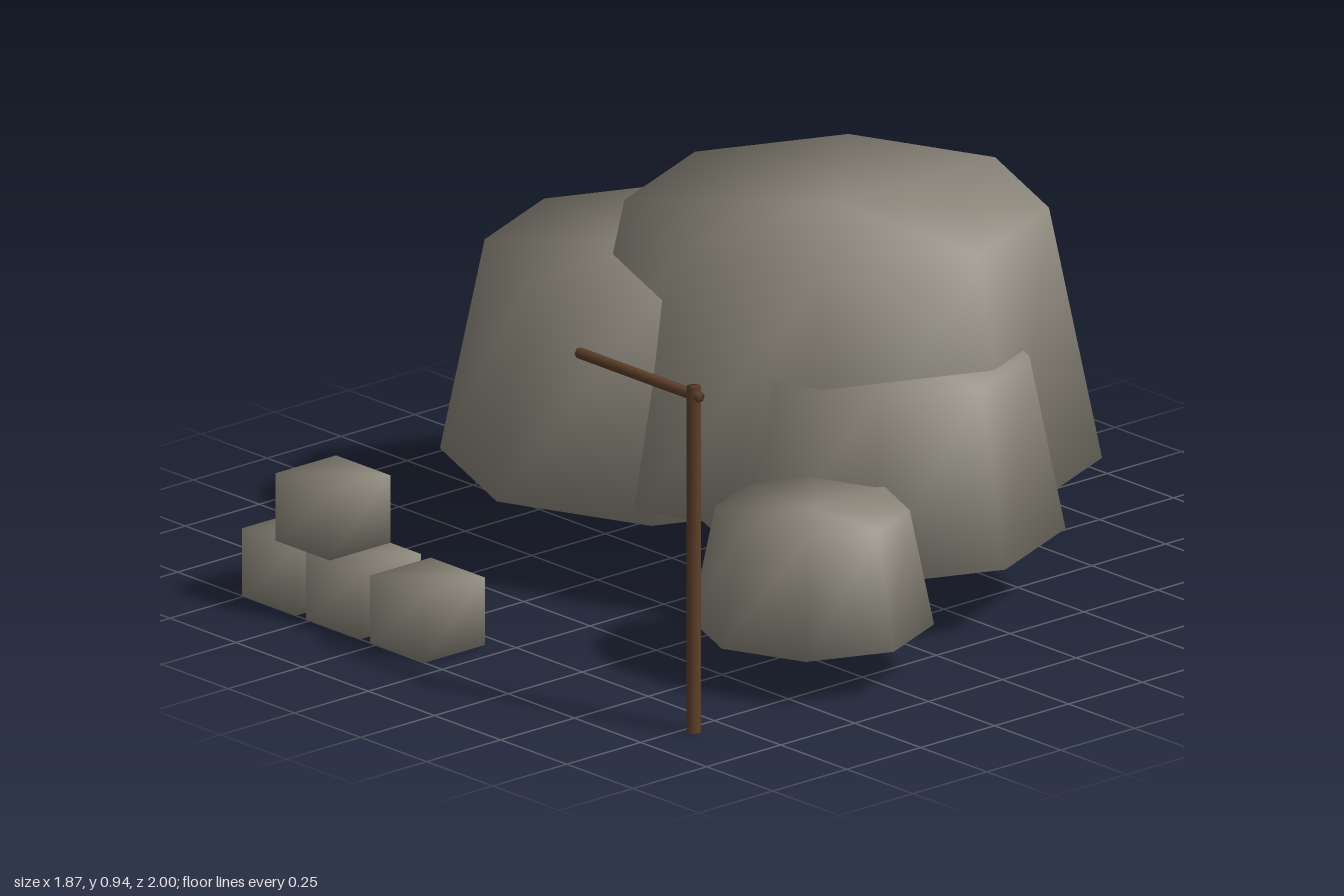
import * as THREE from 'three';
import { mergeVertices } from 'three/addons/utils/BufferGeometryUtils.js';

// Weld all corners so the shading rolls smoothly over every edge
function soften(geometry) {
  geometry.deleteAttribute('normal');
  geometry.deleteAttribute('uv');
  const welded = mergeVertices(geometry, 1e-4);
  welded.clearGroups();
  welded.computeVertexNormals();
  return welded;
}

export function createModel() {
  const model = new THREE.Group();
  model.name = 'rockPile';
  const stone = new THREE.MeshStandardMaterial({ color: 0x8e897d });
  stone.name = 'stone';
  const wood = new THREE.MeshStandardMaterial({ color: 0x5f402a });
  wood.name = 'wood';

  function add(name, geometry, material, x, y, z) {
    const mesh = new THREE.Mesh(geometry, material);
    mesh.name = name;
    mesh.position.set(x, y, z);
    model.add(mesh);
    return mesh;
  }

  // Boulders: eight-sided tapered blocks [name, x, z, bottom radius, bottom y, top y]
  const boulders = [
    ['largeBoulder', 0.005, -0.33, 0.67, 0.27, 0.935],
    ['rightBoulder', -0.375, -0.085, 0.565, 0.23, 0.79],
    ['leftBoulder', 0.32, -0.21, 0.457, 0.187, 0.645],
    ['smallBoulder', 0.623, 0.305, 0.307, 0.127, 0.43],
  ];
  for (const [name, x, z, r, y0, y1] of boulders) {
    const geometry = soften(new THREE.CylinderGeometry(r * 0.8, r, y1 - y0, 8));
    add(name, geometry, stone, x, (y0 + y1) / 2, z);
  }

  // Stacked blocks: three on the ground and one on top
  const block = soften(new THREE.BoxGeometry(0.205, 0.18, 0.205));
  [[-0.655, 0.09], [-0.412, 0.09], [-0.17, 0.09], [-0.528, 0.27]].forEach(([x, y], i) =>
    add('stoneBlock' + (i + 1), block, stone, x, y, 0.897));

  // Wooden post with a horizontal arm
  add('post', soften(new THREE.CylinderGeometry(0.0185, 0.0185, 0.922, 8)), wood, 0.778, 0.461, 0.845);
  const arm = add('arm', soften(new THREE.CylinderGeometry(0.0145, 0.0145, 0.46, 6)), wood, 0.573, 0.899, 0.845);
  arm.rotation.z = Math.PI / 2;

  return model;
}
